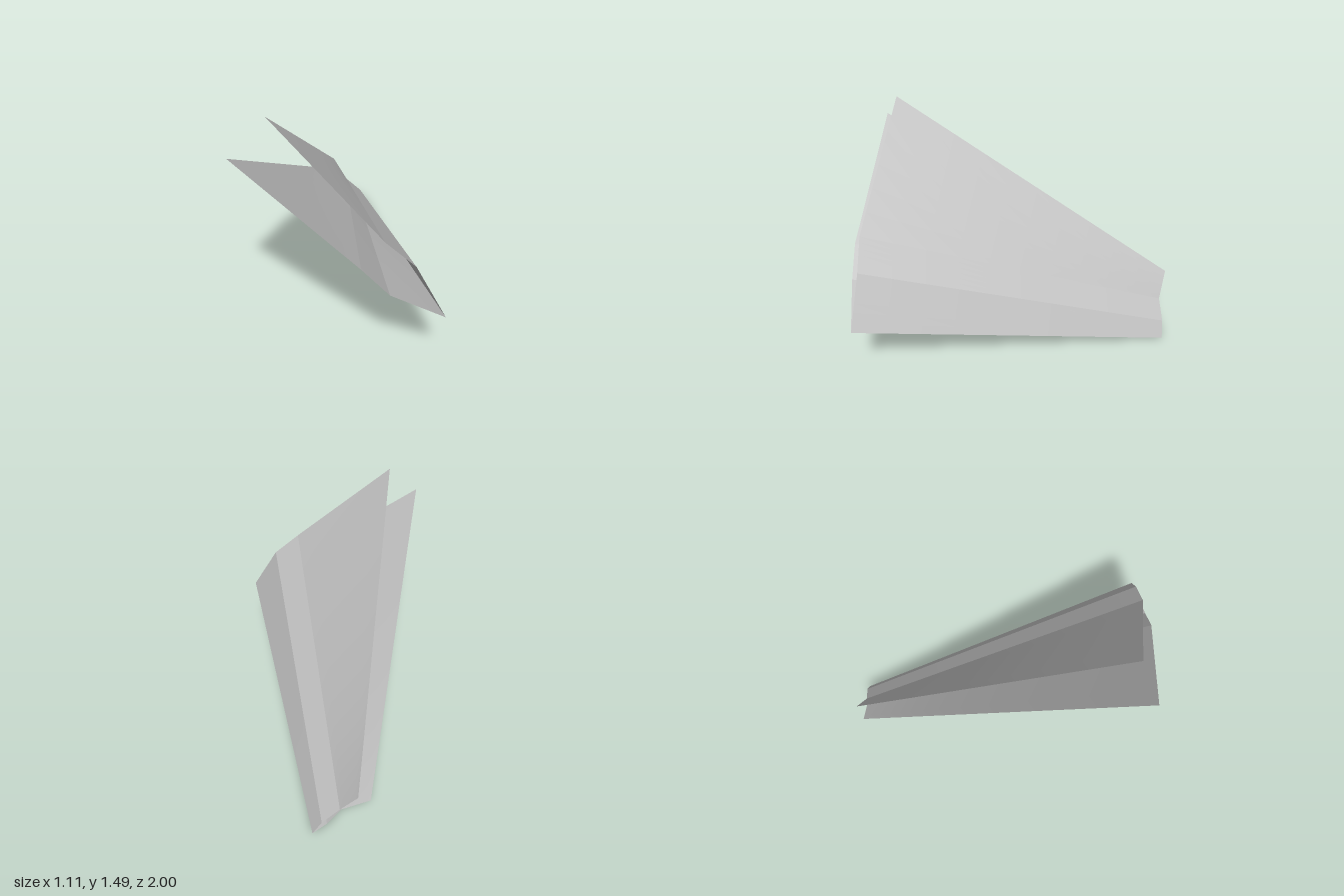
import * as THREE from 'three';

// Fold lines of each half, keel first: [front end, rear end]
const keel = [[0.555, 0.47, 1.0], [0.34, 0.0, -0.935]];
const rightHalf = [
  keel,
  [[0.255, 0.62, 0.988], [0.255, 0.08, -0.94]],
  [[0.105, 0.77, 0.96], [0.17, 0.19, -0.938]],
  [[-0.555, 1.3, 0.72], [0.01, 0.287, -0.975]],
];
const leftHalf = [
  keel,
  [[0.392, 0.76, 0.938], [0.285, 0.1, -0.945]],
  [[0.23, 0.9, 0.915], [0.18, 0.2, -0.945]],
  [[-0.358, 1.492, 0.65], [0.085, 0.35, -1.0]],
];

// Ruled panel between two neighbouring fold lines
function panel(lineA, lineB, across, along) {
  const v = (p) => new THREE.Vector3(...p);
  const positions = [];
  const index = [];
  for (let i = 0; i <= across; i++) {
    const front = v(lineA[0]).lerp(v(lineB[0]), i / across);
    const rear = v(lineA[1]).lerp(v(lineB[1]), i / across);
    for (let j = 0; j <= along; j++) {
      positions.push(...front.clone().lerp(rear, j / along).toArray());
      if (i < across && j < along) {
        const a = i * (along + 1) + j;
        const b = a + along + 1;
        index.push(a, b, a + 1, b, b + 1, a + 1);
      }
    }
  }
  const geometry = new THREE.BufferGeometry();
  geometry.setAttribute('position', new THREE.Float32BufferAttribute(positions, 3));
  geometry.setIndex(index);
  geometry.computeVertexNormals();
  return geometry;
}

export function createModel() {
  const model = new THREE.Group();
  model.name = 'foldedGlider';
  const paper = new THREE.MeshStandardMaterial({ color: 0xc0c0c0 });
  paper.name = 'paperGrey';
  paper.side = THREE.DoubleSide;

  // Each half: keel side, narrow pleat, broad wing
  const parts = ['KeelSide', 'Pleat', 'Wing'];
  for (const [side, lines] of [['right', rightHalf], ['left', leftHalf]]) {
    parts.forEach((part, i) => {
      const mesh = new THREE.Mesh(panel(lines[i], lines[i + 1], 6, 10), paper);
      mesh.name = side + part;
      model.add(mesh);
    });
  }
  return model;
}
